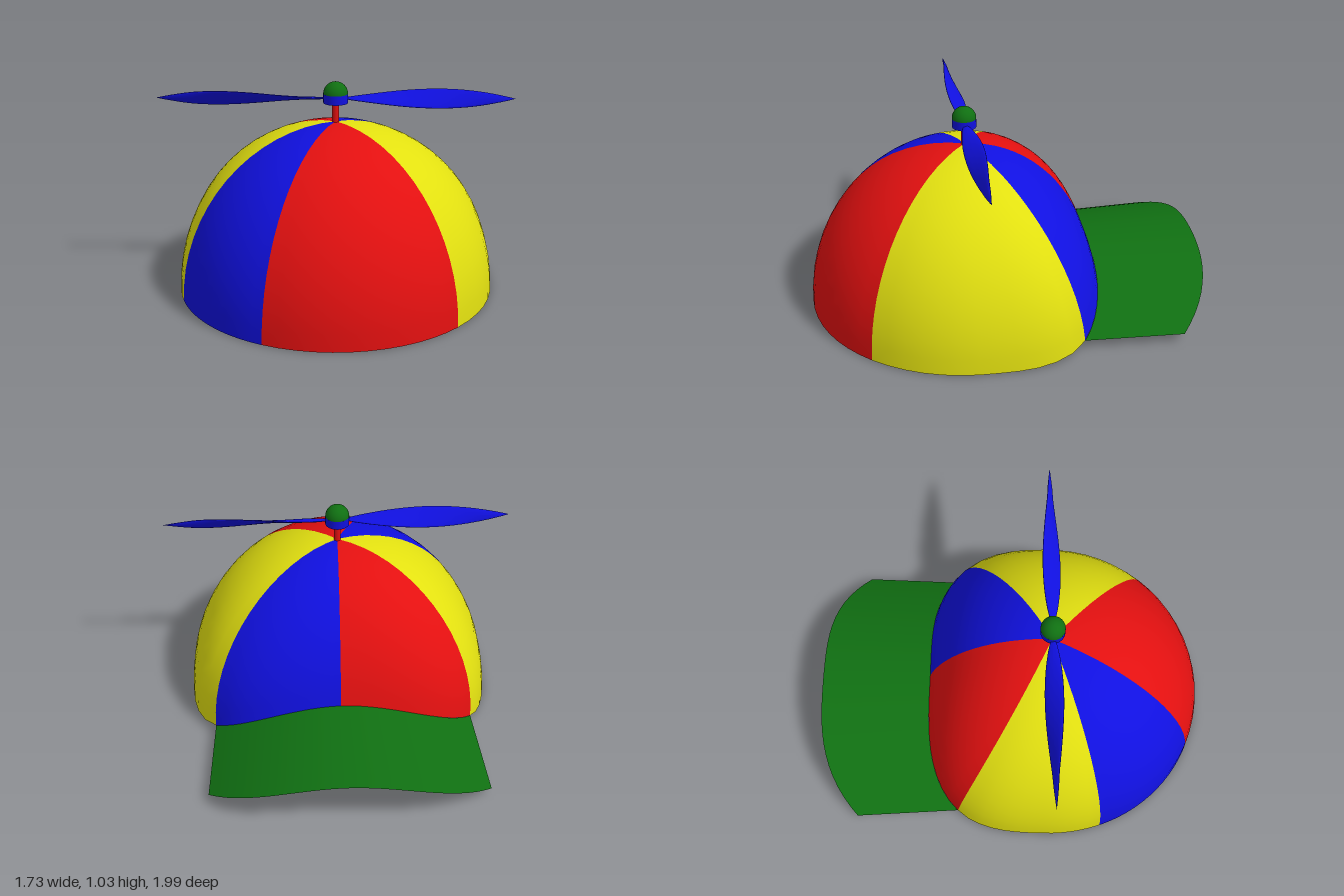
import * as THREE from 'three';

const HEIGHT = 0.835, CZ = 0.19; // crown height and crown centre in z
const RAD = Math.PI / 180;

// Surface from a rule p(u, v) -> [x, y, z], u and v in 0..1
function grid(nu, nv, p) {
  const pos = [], idx = [];
  for (let j = 0; j <= nv; j++)
    for (let i = 0; i <= nu; i++) pos.push(...p(i / nu, j / nv));
  for (let j = 0; j < nv; j++)
    for (let i = 0; i < nu; i++) {
      const a = j * (nu + 1) + i, b = a + 1, d = a + nu + 1, c = d + 1;
      idx.push(a, b, c, a, c, d);
    }
  const g = new THREE.BufferGeometry();
  g.setAttribute('position', new THREE.Float32BufferAttribute(pos, 3));
  g.setIndex(idx);
  g.computeVertexNormals();
  return g;
}

// Crown surface: round at the top, squarer towards the visor at the rim
function crownPoint(angle, phi) {
  const c = Math.cos(angle), s = Math.sin(angle), k = Math.cos(phi);
  const n = s < 0 ? 2 + k * k : 2;
  const depth = s < 0 ? 0.66 : 0.8;
  const r = k / Math.pow(Math.pow(Math.abs(c) / 0.775, n) + Math.pow(Math.abs(s) / depth, n), 1 / n);
  return [c * r, HEIGHT * Math.sin(phi), CZ + s * r];
}

// Sideways position across the visor, -1..1
const across = (x) => THREE.MathUtils.clamp((x + 0.015) / 0.665, -1, 1);
const arch = (u) => 0.035 + 0.23 * (1 - u * u);

// The rim is flat, then lifts into an arch over the visor
function rimPhi(angle) {
  const deg = ((angle / RAD) % 360 + 360) % 360;
  const [x, , z] = crownPoint(angle, 0);
  let y = 0;
  if (deg >= 214.6 && deg <= 321.4) y = arch(across(x));
  else if (z < 0) y = 0.035 * Math.min(1, (z / 0.32) ** 2);
  return Math.asin(y / HEIGHT);
}

export function createModel() {
  const mat = (name, color) => {
    const m = new THREE.MeshStandardMaterial({ color, side: THREE.DoubleSide });
    m.name = name;
    return m;
  };
  const red = mat('red', 0xe31010), yellow = mat('yellow', 0xe2e010);
  const blue = mat('blue', 0x1010e0), green = mat('green', 0x107012);

  const model = new THREE.Group();
  model.name = 'propellerCap';
  const add = (parent, name, geometry, material) => {
    const m = new THREE.Mesh(geometry, material);
    m.name = name;
    parent.add(m);
    return m;
  };

  // Crown panels; each seam is [angle at rim, angle at top]
  const seams = [[-38.7, -30], [41.4, 41.4], [112, 112], [158.7, 158.7], [214.7, 204], [270, 270], [321.3, 330]];
  const colours = [yellow, red, blue, yellow, red, blue];
  const crown = new THREE.Group();
  crown.name = 'crown';
  model.add(crown);
  colours.forEach((colour, i) => {
    const [a0, a1] = [seams[i], seams[i + 1]];
    const panel = grid(12, 16, (u, v) => {
      const lerp = THREE.MathUtils.lerp;
      const rim = lerp(a1[0], a0[0], u), top = lerp(a1[1], a0[1], u);
      const angle = lerp(rim, top, v) * RAD;
      return crownPoint(angle, lerp(rimPhi(rim * RAD), Math.PI / 2, v));
    });
    add(crown, 'crownPanel' + (i + 1), panel, colour);
  });

  // Arched visor, from the crown rim to a rounded outer edge
  add(model, 'visor', grid(28, 8, (u, v) => {
    const angle = THREE.MathUtils.lerp(214.7, 321.3, u) * RAD;
    const root = crownPoint(angle, rimPhi(angle));
    const t = across(crownPoint(angle, 0)[0]);
    const outer = [-0.03 + 0.69 * t, arch(t), -0.79 - 0.21 * (1 - Math.pow(Math.abs(t), 3.4))];
    return root.map((r, k) => r + (outer[k] - r) * v);
  }), green);

  // Propeller on its stem
  const propeller = new THREE.Group();
  propeller.name = 'propeller';
  propeller.position.z = CZ;
  model.add(propeller);
  add(propeller, 'stem', new THREE.CylinderGeometry(0.017, 0.017, 0.13, 16), red).position.y = 0.88;
  add(propeller, 'hub', new THREE.CylinderGeometry(0.06, 0.06, 0.045, 24), blue).position.y = 0.9505;
  add(propeller, 'hubCap', new THREE.SphereGeometry(0.06, 24, 10, 0, Math.PI * 2, 0, Math.PI / 2), green).position.y = 0.972;

  // Twisted blades with a thin oval section
  const bladeGeometry = grid(24, 14, (u, v) => {
    const x = 0.04 + 0.825 * u;
    const half = 0.006 + 0.05 * Math.pow(Math.sin(Math.PI * Math.pow(u, 0.9)), 0.8);
    const width = half * Math.sqrt(Math.max(0, 1 - Math.pow(u, 10)));
    const thick = Math.min(0.007, width * 0.3);
    const pitch = (10 + 55 * Math.min(1, u * 1.25)) * RAD;
    const y = thick * Math.cos(v * Math.PI * 2), z = -width * Math.sin(v * Math.PI * 2);
    return [x, y * Math.cos(pitch) - z * Math.sin(pitch), y * Math.sin(pitch) + z * Math.cos(pitch)];
  });
  for (const [name, turn] of [['leftBlade', 0], ['rightBlade', Math.PI]]) {
    const blade = add(propeller, name, bladeGeometry, blue);
    blade.position.y = 0.95;
    blade.rotation.y = turn + 0.03;
  }
  return model;
}
